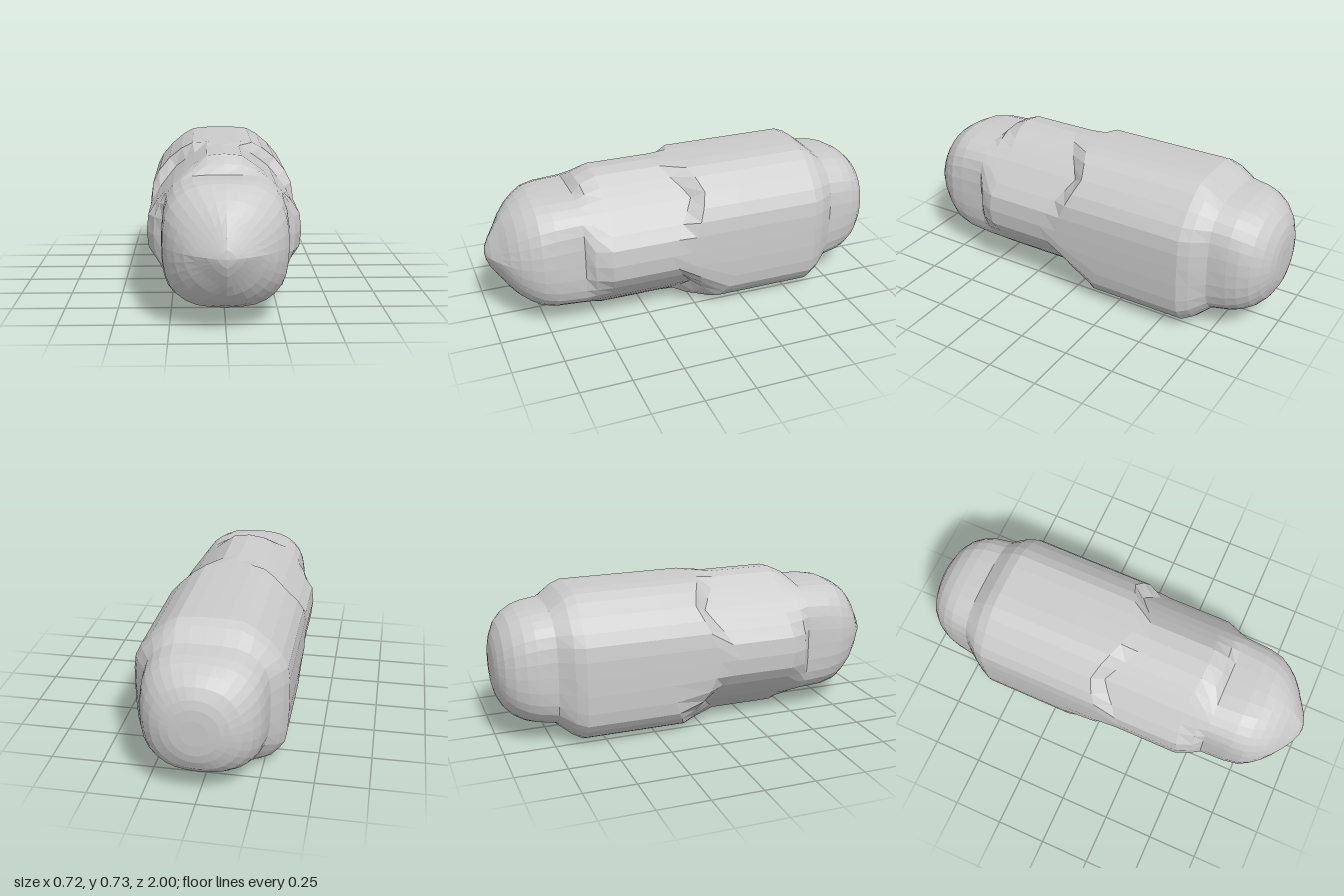
import * as THREE from 'three';

const CENTRE_Y = 0.365;

// Quarter cross-sections, from the crown (x = 0) round to the side (y = 0)
const CORE = [[0, .283], [.08, .282], [.15, .277], [.2, .26], [.235, .235], [.262, .2], [.277, .15], [.284, .08], [.285, 0]];
const RIDGED = [[0, .363], [.08, .354], [.14, .313], [.185, .278], [.235, .235], [.278, .185], [.315, .14], [.354, .08], [.362, 0]];
const FULL = [[0, .363], [.08, .362], [.15, .355], [.205, .325], [.27, .27], [.323, .208], [.352, .15], [.361, .08], [.362, 0]];
const SWOLLEN = [[0, .364], [.12, .361], [.23, .351], [.282, .325], [.317, .285], [.345, .245], [.356, .18], [.361, .09], [.362, 0]];
const ROUND = CORE.map((_, i) => [.285 * Math.sin(i * Math.PI / 16), .285 * Math.cos(i * Math.PI / 16)]);
const DIAMOND = CORE.map((_, i) => [.285 * i / 8, .285 * (1 - i / 8)]);

const mix = (a, b, t) => a.map(([x, y], i) => [x + (b[i][0] - x) * t, y + (b[i][1] - y) * t]);
const rounded = t => mix(CORE, ROUND, t);
// Push the points of a section along z by a rule on their index
const shift = (section, rule) => section.map(([x, y], i) => [x, y, rule(i)]);
// Arched groove end: furthest back on the diagonal
const arch = depth => i => depth * Math.abs(i - 4) / 4;

// Closed ring at depth z, clockwise seen from the front
function ring(z, upper, lower = upper, scale = 1) {
  const half = [...upper, ...lower.slice(0, -1).reverse().map(([x, y, dz]) => [x, -y, dz])];
  const all = [...half, ...half.slice(1, -1).reverse().map(([x, y, dz]) => [-x, y, dz])];
  return all.map(([x, y, dz = 0]) => [x * scale, CENTRE_Y + y * scale, z + dz]);
}

// Faceted skin through a series of rings, front to back
function loft(name, rings) {
  const pos = [];
  for (let r = 0; r < rings.length - 1; r++) {
    const a = rings[r], b = rings[r + 1];
    for (let i = 0; i < a.length; i++) {
      const j = (i + 1) % a.length;
      pos.push(...a[i], ...a[j], ...b[j], ...a[i], ...b[j], ...b[i]);
    }
  }
  const geo = new THREE.BufferGeometry();
  geo.setAttribute('position', new THREE.Float32BufferAttribute(pos, 3));
  geo.computeVertexNormals();
  const mesh = new THREE.Mesh(geo, new THREE.MeshStandardMaterial({ color: 0xcccccc, flatShading: true }));
  mesh.name = name;
  return mesh;
}

export function createModel() {
  const group = new THREE.Group();
  group.name = 'capsuleBody';

  // Blunt front that narrows to a four-sided point
  const nose = [
    ring(1, DIAMOND, DIAMOND, 0),
    ring(.993, mix(ROUND, DIAMOND, .5), undefined, .14),
    ring(.975, mix(ROUND, DIAMOND, .6), undefined, .29),
    ring(.94, mix(ROUND, DIAMOND, .45), undefined, .49),
    ring(.905, mix(ROUND, DIAMOND, .1), undefined, .65),
    ring(.865, rounded(.85), undefined, .79),
    ring(.82, rounded(.65), undefined, .9),
    ring(.77, rounded(.45), undefined, .98),
    ring(.7, rounded(.2)),
    ring(.57, CORE),
  ];

  // Four raised ridges at the front, with grooves that end in arches;
  // behind them a full hull whose lower corners swell outwards
  const hull = [
    ring(.57, CORE),
    ring(.515, shift(mix(CORE, RIDGED, .55), arch(.02))),
    ring(.43, shift(RIDGED, arch(.03))),
    ring(.02, shift(RIDGED, arch(.14))),
    ring(-.04, shift(FULL, arch(.1))),
    ring(-.21, FULL, shift(SWOLLEN, i => .16 - .02 * i)),
    ring(-.61, FULL, SWOLLEN),
    ring(-.66, mix(CORE, FULL, .74), mix(CORE, SWOLLEN, .7)),
    ring(-.73, mix(rounded(.15), FULL, .08), mix(rounded(.15), SWOLLEN, .08)),
  ];

  // Domed rear end
  const tail = [
    hull[hull.length - 1],
    ring(-.82, rounded(.3), undefined, .99),
    ring(-.87, rounded(.45), undefined, .95),
    ring(-.92, rounded(.6), undefined, .86),
    ring(-.96, rounded(.75), undefined, .72),
    ring(-.985, ROUND, ROUND, .55),
    ring(-.996, ROUND, ROUND, .4),
    ring(-1, ROUND, ROUND, .22),
    ring(-1, ROUND, ROUND, 0),
  ];

  group.add(loft('nose', nose), loft('ridgedHull', hull), loft('tail', tail));
  return group;
}
